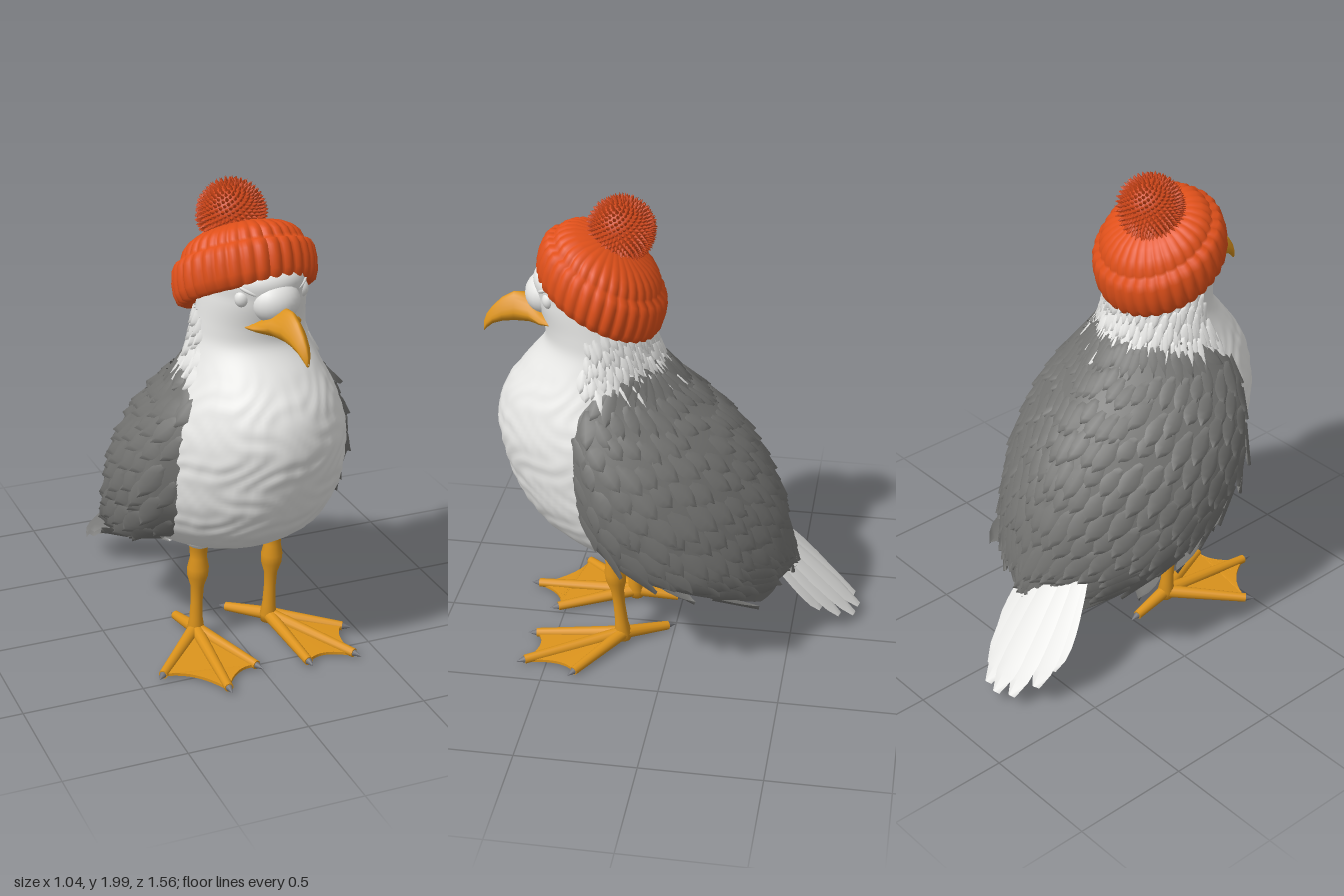
import * as THREE from 'three';
import { mergeGeometries } from 'three/addons/utils/BufferGeometryUtils.js';

const { smoothstep, lerp, clamp } = THREE.MathUtils;
const V = (x, y, z) => new THREE.Vector3(x, y, z);
const material = (name, color, side = THREE.FrontSide) => {
  const m = new THREE.MeshStandardMaterial({ color, side });
  m.name = name;
  return m;
};
const hash = n => { const s = Math.sin(n * 127.1) * 43758.5; return s - Math.floor(s); };

// Horizontal body slices: y, front z, back z, half width
const BODY = [
  [.34, -.33, -.36, .005], [.36, -.15, -.42, .14], [.42, .12, -.44, .25], [.48, .36, -.44, .32],
  [.6, .55, -.42, .39], [.7, .63, -.4, .42], [.8, .68, -.36, .425], [1, .73, -.24, .4], [1.1, .725, -.15, .365],
  [1.2, .69, -.05, .315], [1.3, .615, .04, .265], [1.4, .535, .08, .23], [1.47, .53, .09, .22],
  [1.6, .56, .1, .205], [1.7, .55, .13, .18], [1.76, .4, .25, .04]];
// Wing and back slices: y, front z, back z, half width, z of the leading edge
const WING = [
  [.28, -.1, -.45, .27, -.35], [.36, .15, -.47, .35, -.2], [.45, .35, -.475, .42, .04], [.55, .5, -.465, .47, .28],
  [.7, .63, -.43, .49, .38], [.85, .7, -.365, .485, .41], [1, .73, -.27, .445, .42], [1.1, .72, -.18, .395, .42],
  [1.2, .68, -.07, .33, .4], [1.28, .62, .01, .275, .3], [1.34, .55, .06, .235, .15]];

// Smooth lookup in a table sorted by its first column
function at(T, y) {
  let i = 0;
  while (i < T.length - 2 && y > T[i + 1][0]) i++;
  const a = T[i], b = T[i + 1], p = T[i - 1] || a, q = T[i + 2] || b;
  const h = b[0] - a[0], t = clamp((y - a[0]) / h, 0, 1), t2 = t * t, t3 = t2 * t;
  return a.map((_, k) => {
    const m0 = (b[k] - p[k]) / (b[0] - p[0]) * h, m1 = (q[k] - a[k]) / (q[0] - a[0]) * h;
    return (2 * t3 - 3 * t2 + 1) * a[k] + (t3 - 2 * t2 + t) * m0 + (3 * t2 - 2 * t3) * b[k] + (t3 - t2) * m1;
  });
}

// Surface through rows of points; point(i, j) gives each vertex
function loft(rows, cols, point, closed) {
  const pos = [], idx = [], n = closed ? cols : cols - 1;
  for (let i = 0; i < rows; i++) for (let j = 0; j < cols; j++) pos.push(...point(i, j).toArray());
  for (let i = 0; i < rows - 1; i++) for (let j = 0; j < n; j++) {
    const a = i * cols + j, b = i * cols + (j + 1) % cols;
    idx.push(a, b, b + cols, a, b + cols, a + cols);
  }
  const g = new THREE.BufferGeometry();
  g.setAttribute('position', new THREE.Float32BufferAttribute(pos, 3));
  g.setIndex(idx);
  g.computeVertexNormals();
  return g;
}

// Egg-shaped narrowing towards the rear
const taper = c => 1 - .22 * Math.min(c, 0) ** 2;

// Body surface, t runs once around from the breast
function bodyPoint(y, t) {
  const a = t * Math.PI * 2, [, zf, zb, w] = at(BODY, y);
  const fluff = smoothstep(y, .45, .6) * (1 - smoothstep(y, 1.2, 1.4));
  const r = 1 + .01 * fluff * Math.sin(a * 17 + 2.5 * Math.sin(y * 23)) * Math.sin(y * 41 + 2.5 * Math.sin(a * 7));
  return V(w * Math.sin(a) * r * taper(Math.cos(a)), y, (zf + zb) / 2 + (zf - zb) / 2 * Math.cos(a) * r);
}

// Wing surface, t runs from the left leading edge round the back to the right one
function wingPoint(y, t) {
  const [, zf, zb, w, edge] = at(WING, y), mid = (zf + zb) / 2, half = (zf - zb) / 2;
  const left = Math.acos(clamp((edge - mid) / half, -1, 1));
  const right = Math.acos(clamp((edge + .05 * smoothstep(y, .5, .8) - mid) / half, -1, 1));
  const a = lerp(left, 2 * Math.PI - right, t);
  const x = w * Math.sin(a) * taper(Math.cos(a)), z = mid + half * Math.cos(a);
  const [, bf, bb, bw] = at(BODY, y), c = clamp((2 * z - bf - bb) / (bf - bb), -1, 1);
  const inner = Math.max(bw * Math.sqrt(1 - c * c) * taper(c) * .96, Math.abs(x) * .6);
  const k = smoothstep(Math.min(t, 1 - t), 0, .06);
  const lift = .14 * (1 - smoothstep(y, .28, .6)) * Math.exp(-(((t - .5) / .11) ** 2));
  return V(lerp(Math.min(inner, Math.abs(x)) * Math.sign(x), x, k), y + lift, z);
}

// One domed feather, root at the origin, tip at z = 1
const feather = outline => loft(outline.length, 3, (i, j) => {
  const z = i / (outline.length - 1);
  return V((1 - j) * outline[i], j === 1 ? .5 : 0, z);
});
const POINTED = feather([.5, .85, 1, .95, .65, .02]);
const ROUNDED = feather([.6, .75, .85, .95, 1, .98, .8, .3]);

function placeFeather(g, root, dir, normal, width, length) {
  const z = dir.clone().normalize(), x = V().crossVectors(normal, z).normalize(), y = V().crossVectors(z, x);
  const m = new THREE.Matrix4().makeBasis(x.multiplyScalar(width), y.multiplyScalar(.03), z.multiplyScalar(length));
  return g.clone().applyMatrix4(m.setPosition(root));
}

// Staggered rows of feathers over a surface
function plumage({ surface, y0, y1, t0, t1, rows, cols, length, width, sweep, lift }) {
  const out = [];
  for (let i = 0; i < rows; i++) for (let j = 0; j < cols; j++) {
    const f = i / (rows - 1), seed = i * 71 + j;
    const y = lerp(y0, y1, f) + (hash(seed) - .5) * .05;
    const t = lerp(t0, t1, (j + .25 + .5 * (i % 2)) / cols);
    const p = surface(y, t), down = surface(y - .02, t).sub(p).normalize();
    const around = surface(y, t + .004).sub(surface(y, t - .004)).normalize();
    const n = V().crossVectors(around, down).negate().normalize();
    const back = around.multiplyScalar(clamp((.5 - t) * 6, -1, 1) * sweep);
    const dir = down.add(back).normalize().addScaledVector(n, lift);
    const l = lerp(length[0], length[1], f) * (.8 + .4 * hash(seed + 9));
    out.push(placeFeather(POINTED, p.addScaledVector(n, -.006), dir, n, lerp(width[0], width[1], f), l));
  }
  const g = mergeGeometries(out);
  g.computeVertexNormals();
  return g;
}

export function createModel() {
  const model = new THREE.Group(), bird = new THREE.Group();
  model.name = 'gull';
  bird.name = 'body';
  bird.rotation.y = .09;
  model.add(bird);

  const white = material('white plumage', 0xe6e6e4, THREE.DoubleSide);
  const grey = material('grey plumage', 0x737371, THREE.DoubleSide);
  const yellow = material('yellow skin', 0xdb931c);
  const orange = material('orange wool', 0xe0501a, THREE.DoubleSide);
  const rust = material('rust wool', 0xcc4518, THREE.DoubleSide);
  const claw = material('claw grey', 0x74757a);
  const add = (parent, name, geo, mat, x = 0, y = 0, z = 0) => {
    const m = new THREE.Mesh(geo, mat);
    m.name = name;
    m.position.set(x, y, z);
    parent.add(m);
    return m;
  };

  // Body, neck and head
  add(bird, 'torsoAndHead', loft(100, 110, (i, j) => bodyPoint(lerp(.34, 1.76, i / 99), j / 110), true), white);
  add(bird, 'neckFeathers', plumage({ surface: bodyPoint, y0: 1.5, y1: 1.31, t0: .22, t1: .78, rows: 6, cols: 22,
    length: [.08, .1], width: [.018, .024], sweep: .2, lift: .14 }), white);
  add(bird, 'bellyFeathers', plumage({ surface: bodyPoint, y0: .54, y1: .4, t0: .16, t1: .84, rows: 5, cols: 24,
    length: [.08, .09], width: [.03, .03], sweep: .7, lift: .06 }), white);

  // Folded wings and back
  add(bird, 'wingsAndBack', loft(60, 90, (i, j) => wingPoint(lerp(.28, 1.34, i / 59), j / 89)), grey);
  add(bird, 'wingFeathers', plumage({ surface: wingPoint, y0: 1.3, y1: .42, t0: .01, t1: .99, rows: 11, cols: 26,
    length: [.13, .18], width: [.036, .048], sweep: .6, lift: .03 }), grey);

  // Forehead running down onto the beak, eyes and frowning brows
  add(bird, 'forehead', new THREE.SphereGeometry(1, 24, 16), white, 0, 1.59, .52).scale.set(.1, .085, .085);
  for (const s of [-1, 1]) {
    add(bird, 'eye', new THREE.SphereGeometry(1, 20, 14), white, s * .125, 1.612, .493).scale.set(.032, .036, .028);
    const brow = add(bird, 'brow', new THREE.SphereGeometry(1, 16, 10), white, s * .105, 1.642, .512);
    brow.scale.set(.05, .011, .024);
    brow.rotation.set(0, s * .5, s * .45);
  }

  // Hooked beak, ridged on top and wide at the gape: z, top, bottom, half width
  const beak = [[.48, 1.525, 1.475, .125], [.54, 1.55, 1.468, .105], [.59, 1.585, 1.466, .068], [.65, 1.588, 1.464, .048],
    [.7, 1.56, 1.458, .038], [.74, 1.52, 1.445, .028], [.765, 1.485, 1.425, .018], [.778, 1.45, 1.41, .008], [.779, 1.43, 1.415, .001]];
  add(bird, 'beak', loft(beak.length, 24, (i, j) => {
    const [z, top, bottom, w] = beak[i], a = j / 24 * Math.PI * 2, s = Math.sin(a);
    return V(w * Math.cos(a) * (1 - .45 * Math.max(s, 0)), lerp(bottom, top, s > 0 ? .4 + .6 * s : .4 + .4 * s), z);
  }, true), yellow);

  // Tail fan around a flattened core
  const tips = [[-.35, .16, -.6], [-.03, .13, -.62], [-.33, .1, -.67], [-.07, .08, -.7],
    [-.27, .06, -.75], [-.13, .05, -.76], [-.2, .05, -.775]];
  const tail = tips.map(([x, y, z], i) => {
    const root = V(-.13 + (x + .19) * .75, .44 + i * .004, -.36 - i * .004), dir = V(x, y, z).sub(root);
    return placeFeather(ROUNDED, root, dir, V(0, .7, -.7), .062, dir.length());
  });
  const tailGeo = mergeGeometries(tail);
  tailGeo.computeVertexNormals();
  add(model, 'tailFeathers', tailGeo, white);
  const core = add(model, 'tailCore', new THREE.SphereGeometry(1, 24, 16), white, -.15, .285, -.51);
  core.scale.set(.13, .028, .25);
  core.rotation.set(-.77, .08, 0);

  // Ribbed knitted hat, leaning forward over its tilted rim
  const profile = [[.2, .02], [.25, 0], [.272, .012], [.284, .045], [.286, .09], [.28, .135], [.266, .16], [.244, .168],
    [.24, .18], [.23, .203], [.208, .225], [.17, .246], [.11, .262], [.05, .268], [0, .27]];
  const knit = new THREE.LatheGeometry(profile.map(p => new THREE.Vector2(...p)), 224);
  const kp = knit.attributes.position;
  for (let i = 0; i < kp.count; i++) {
    const x = kp.getX(i), y = kp.getY(i), z = kp.getZ(i);
    const r = .965 + .04 * Math.abs(Math.sin(Math.atan2(x, z) * 16));
    kp.setXYZ(i, x * r, y, z * r + .24 * y);
  }
  knit.computeVertexNormals();
  add(model, 'knittedHat', knit, orange, .015, 1.55, .318).rotation.x = -.51;

  // Pompom: a core covered in short tufts
  const tufts = [new THREE.SphereGeometry(.122, 24, 16)], N = 600;
  for (let i = 0; i < N; i++) {
    const y = 1 - 2 * (i + .5) / N, a = i * 2.399963, r = Math.sqrt(1 - y * y), d = V(r * Math.cos(a), y, r * Math.sin(a));
    const q = new THREE.Quaternion().setFromUnitVectors(V(0, 1, 0), d);
    tufts.push(new THREE.ConeGeometry(.012, .034, 6, 1, true).applyQuaternion(q)
      .translate(...d.multiplyScalar(.124 + .005 * hash(i)).toArray()));
  }
  add(model, 'pompom', mergeGeometries(tufts), rust, -.01, 1.855, .22);

  // Legs with webbed feet; toe tips are relative to the ankle
  const legProfile = [[0, .02], [.03, .025], [.036, .06], [.028, .11], [.025, .2], [.028, .27], [.043, .32], [.045, .36],
    [.035, .41], [.037, .45], [.05, .5]].map(p => new THREE.Vector2(...p));
  const feet = [
    { name: 'leftLeg', x: .17, toes: [[.02, .38], [.22, .39], [.27, .17]], hind: [-.12, -.17] },
    { name: 'rightLeg', x: -.16, toes: [[-.24, .26], [-.03, .45], [.14, .33]], hind: [-.02, -.18] }];
  for (const { name, x, toes, hind } of feet) {
    const leg = new THREE.Group();
    leg.name = name;
    leg.position.set(x, 0, .2);
    model.add(leg);
    const shank = new THREE.LatheGeometry(legProfile, 20), sp = shank.attributes.position;
    for (let i = 0; i < sp.count; i++) sp.setZ(i, sp.getZ(i) + sp.getY(i) * .1);
    add(leg, 'shank', shank, yellow);
    add(leg, 'thigh', new THREE.SphereGeometry(1, 20, 14), white, 0, .54, .05).scale.set(.08, .08, .09);
    for (const [tx, tz] of [...toes, hind]) {
      const from = V(0, .055, 0), to = V(tx, .025, tz), dir = to.clone().sub(from), len = dir.length();
      const q = new THREE.Quaternion().setFromUnitVectors(V(0, 1, 0), dir.normalize());
      const toe = add(leg, 'toe', new THREE.CylinderGeometry(.019, .028, len, 12), yellow, ...from.add(to).multiplyScalar(.5));
      toe.quaternion.copy(q);
      const nail = add(leg, 'claw', new THREE.ConeGeometry(.018, .05, 10), claw, ...to.addScaledVector(dir, .015));
      nail.quaternion.copy(q);
    }
    const web = new THREE.Shape();
    web.moveTo(0, 0);
    web.lineTo(...toes[0]);
    for (let i = 1; i < 3; i++) {
      const [a, b] = [toes[i - 1], toes[i]];
      web.quadraticCurveTo((a[0] + b[0]) * .4, (a[1] + b[1]) * .4, ...b);
    }
    const webGeo = new THREE.ExtrudeGeometry(web, { depth: .012, bevelEnabled: false }).rotateX(Math.PI / 2);
    const wp = webGeo.attributes.position;
    for (let i = 0; i < wp.count; i++) wp.setY(i, wp.getY(i) + .055 - .075 * Math.hypot(wp.getX(i), wp.getZ(i)));
    webGeo.computeVertexNormals();
    add(leg, 'web', webGeo, yellow);
  }
  return model;
}
